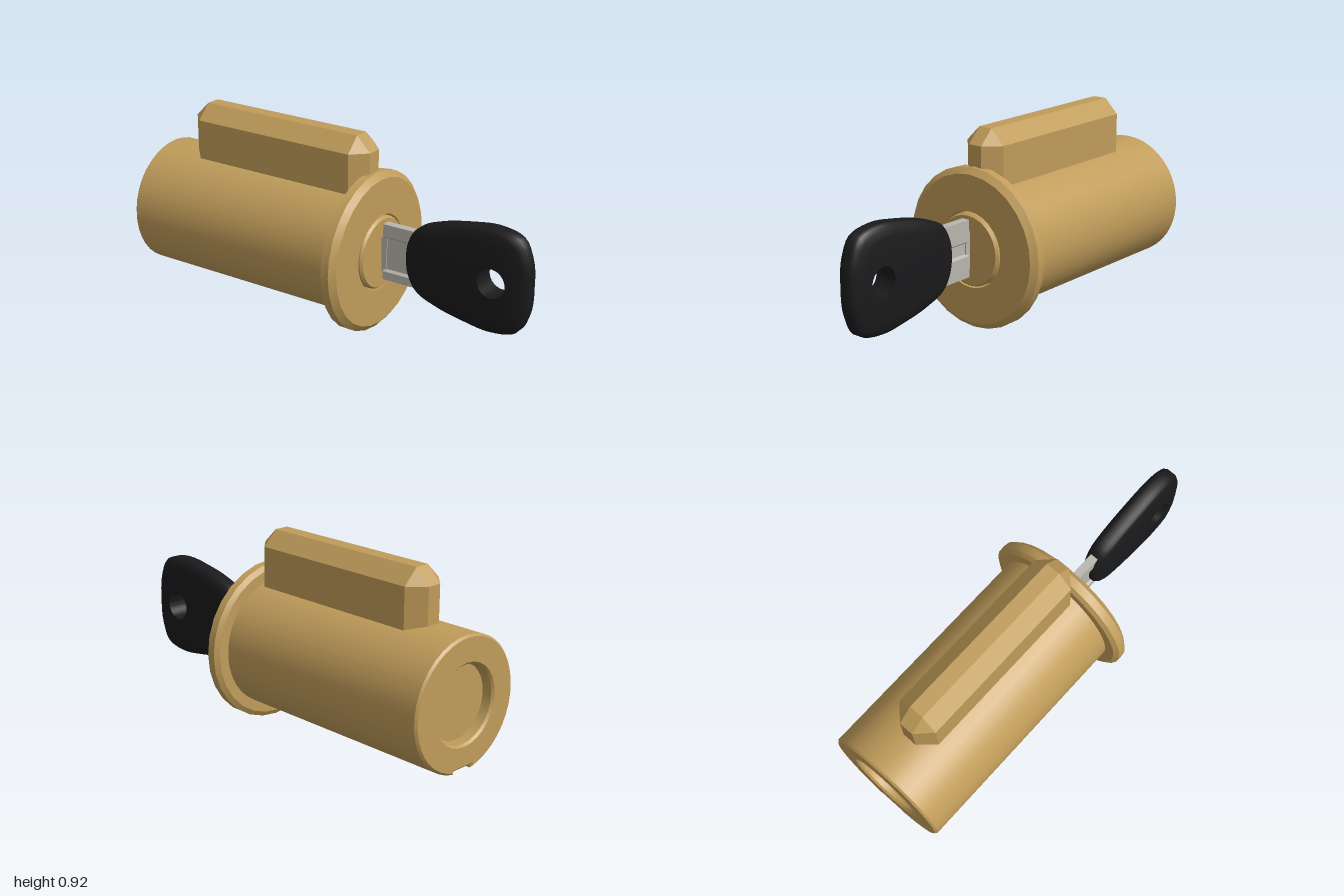
import * as THREE from 'three';
import { toCreasedNormals } from 'three/addons/utils/BufferGeometryUtils.js';
import { ConvexGeometry } from 'three/addons/geometries/ConvexGeometry.js';

const AXIS_Y = 0.38, SIDES = 28;
const brass = new THREE.MeshStandardMaterial({ color: 0xc09c5a });
const steel = new THREE.MeshStandardMaterial({ color: 0xb8b5ad });
const rubber = new THREE.MeshStandardMaterial({ color: 0x1a1a1c });

function addPart(group, name, geometry, material, crease = 0.5) {
  const mesh = new THREE.Mesh(toCreasedNormals(geometry, crease), material);
  mesh.name = name;
  group.add(mesh);
  return mesh;
}

// Turned part along the x axis; profile points are [radius, x]
function turned(profile) {
  const points = profile.map(([r, x]) => new THREE.Vector2(r, x));
  return new THREE.LatheGeometry(points, SIDES).rotateZ(-Math.PI / 2).translate(0, AXIS_Y, 0);
}

// Section in (-z, y), extruded along x from x0 to x1
function extrudeX(shape, x0, x1, bevel = 0) {
  return new THREE.ExtrudeGeometry(shape, {
    depth: x1 - x0 - 2 * bevel, bevelEnabled: bevel > 0, bevelSize: bevel,
    bevelThickness: bevel, bevelOffset: -bevel, bevelSegments: 1,
  }).rotateY(Math.PI / 2).translate(x0 + bevel, 0, 0);
}

// Round barrel section with a shallow slot along the bottom and a bore
function barrelShape() {
  const r = 0.305, slot = 0.055, half = Math.asin(slot / r);
  const shape = new THREE.Shape();
  const steps = 36;
  for (let i = 0; i <= steps; i++) {
    const a = -Math.PI / 2 + half + (i / steps) * (2 * Math.PI - 2 * half);
    const x = r * Math.cos(a), y = r * Math.sin(a);
    if (i === 0) shape.moveTo(x, y); else shape.lineTo(x, y);
  }
  shape.lineTo(-slot, -0.285);
  shape.lineTo(slot, -0.285);
  shape.closePath();
  const bore = new THREE.Path();
  for (let i = 0; i < SIDES; i++) {
    const a = -(i / SIDES) * 2 * Math.PI;
    const p = [0.177 * Math.cos(a), 0.177 * Math.sin(a)];
    if (i === 0) bore.moveTo(...p); else bore.lineTo(...p);
  }
  bore.closePath();
  shape.holes.push(bore);
  return shape;
}

// Pin housing: a box chamfered at its top edges and upright corners
function housingGeometry() {
  const points = [];
  for (const sx of [-1, 1]) for (const sz of [-1, 1]) {
    const add = (x, y, z) => points.push(new THREE.Vector3(-0.31 + sx * x, y, sz * z));
    for (const y of [0.62, 0.855]) {
      add(0.5, y, 0.035);
      add(0.43, y, 0.105);
    }
    add(0.43, 0.925, 0.035);
  }
  return new ConvexGeometry(points);
}

// Key head: loops running from the hole over the front, rim and back to the hole
function keyHeadGeometry() {
  const N = 72, cx = 0.69, cy = 0.4, hx = 0.83, holeR = 0.068;
  const upper = [[0.999, 0.07], [0.988, 0.13], [0.945, 0.215], [0.83, 0.245], [0.69, 0.23],
    [0.545, 0.198], [0.435, 0.15], [0.388, 0.07]];
  const control = [[1, 0], ...upper, [0.38, 0], ...upper.slice().reverse().map(([x, y]) => [x, -y])];
  const outline = new THREE.CatmullRomCurve3(
    control.map(([x, y]) => new THREE.Vector3(x, cy + y, 0)), true).getSpacedPoints(N).slice(0, N);
  const scaled = (s, z) => outline.map((p) => [cx + (p.x - cx) * s, cy + (p.y - cy) * s, z]);
  const hole = (z) => outline.map((p) => {
    const a = Math.atan2(p.y - cy, p.x - hx);
    return [hx + holeR * Math.cos(a), cy + holeR * Math.sin(a), z];
  });
  const half = [[0.76, 0.054], [0.9, 0.046], [0.97, 0.036], [1, 0.022]];
  const loops = [hole(0.057), ...half.map(([s, z]) => scaled(s, z)),
    ...half.slice().reverse().map(([s, z]) => scaled(s, -z)), hole(-0.057)];
  const index = [];
  for (let l = 0; l < loops.length; l++) for (let i = 0; i < N; i++) {
    const j = (i + 1) % N, next = (l + 1) % loops.length;
    const a = l * N + i, b = l * N + j, c = next * N + i, d = next * N + j;
    index.push(a, c, b, b, c, d);
  }
  const geometry = new THREE.BufferGeometry();
  geometry.setAttribute('position', new THREE.Float32BufferAttribute(loops.flat(2), 3));
  geometry.setIndex(index);
  return geometry;
}

// Blade section with a groove down each face
function bladeShape() {
  return new THREE.Shape([[-0.02, 0.26], [0.02, 0.26], [0.02, 0.36], [0.006, 0.37], [0.006, 0.42],
    [0.02, 0.43], [0.02, 0.53], [-0.02, 0.53], [-0.02, 0.47], [-0.008, 0.46], [-0.008, 0.31],
    [-0.02, 0.3]].map(([z, y]) => new THREE.Vector2(z, y)));
}

export function createModel() {
  const model = new THREE.Group();
  model.name = 'lockCylinderWithKey';

  // Lock
  const lock = new THREE.Group();
  lock.name = 'lock';
  addPart(lock, 'barrel', extrudeX(barrelShape(), -1, 0.17, 0.01).translate(0, AXIS_Y, 0), brass);
  addPart(lock, 'flange', turned([[0.18, 0.15], [0.355, 0.15], [0.378, 0.165], [0.378, 0.205],
    [0.35, 0.23], [0.18, 0.23], [0.18, 0.15]]), brass);
  addPart(lock, 'plug', turned([[0, -0.95], [0.17, -0.95], [0.172, 0.23], [0.163, 0.242],
    [0, 0.242]]), brass);
  addPart(lock, 'pinHousing', housingGeometry(), brass);
  model.add(lock);

  // Key
  const key = new THREE.Group();
  key.name = 'key';
  addPart(key, 'keyHead', keyHeadGeometry(), rubber, 0.7);
  addPart(key, 'keyShoulder', extrudeX(bladeShape(), 0.255, 0.42), steel);
  addPart(key, 'keyBlade', new THREE.BoxGeometry(0.1, 0.17, 0.024).translate(0.22, 0.38, 0), steel);
  model.add(key);

  return model;
}
